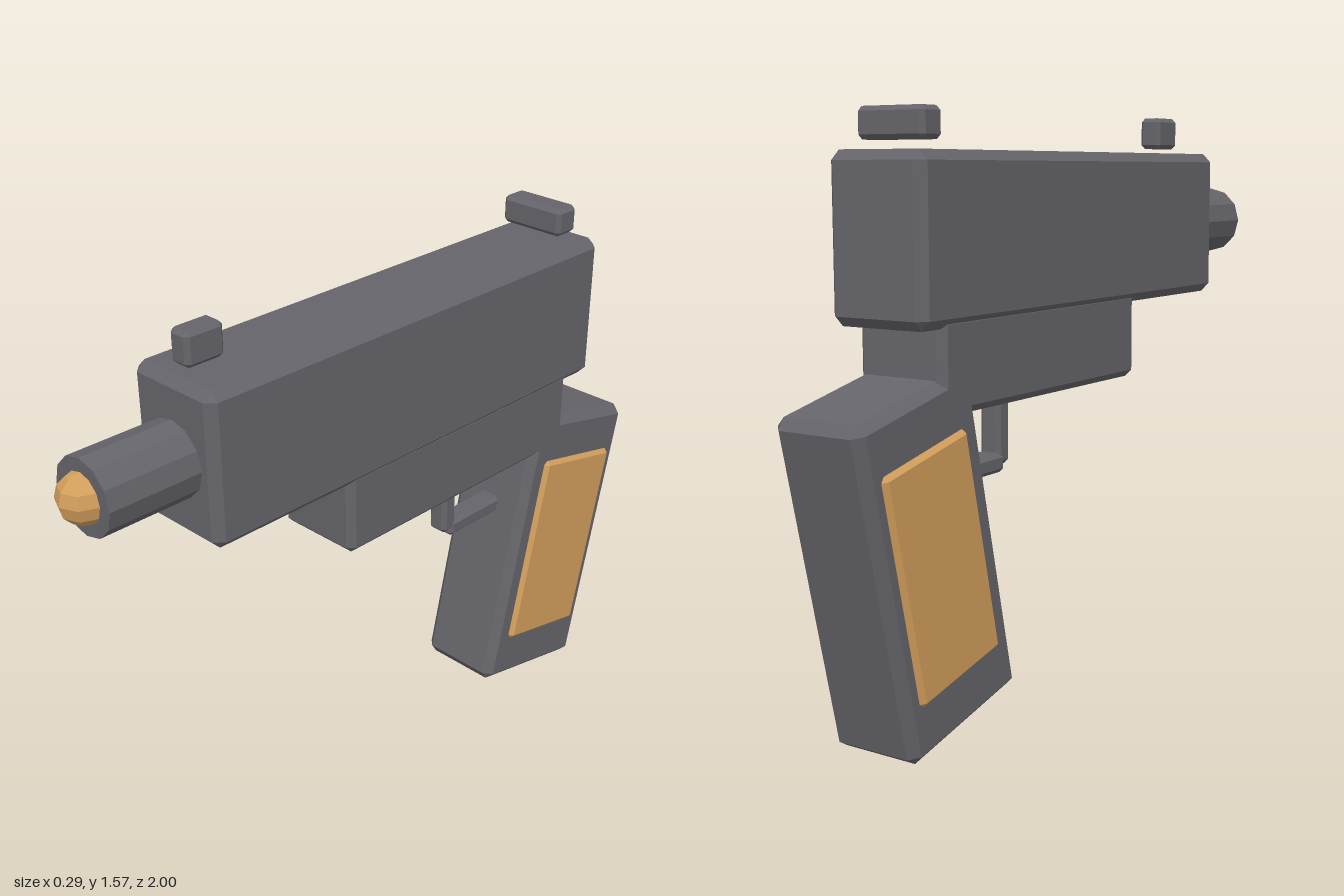
import * as THREE from 'three';
import { ConvexGeometry } from 'three/addons/geometries/ConvexGeometry.js';

// Box with every edge cut at 45 degrees by c
function chamferBox(w, h, d, c) {
  const half = [w / 2, h / 2, d / 2];
  const points = [];
  for (const sx of [-1, 1]) for (const sy of [-1, 1]) for (const sz of [-1, 1]) {
    for (let axis = 0; axis < 3; axis++) {
      const p = half.map((v, i) => (i === axis ? v : v - c));
      points.push(new THREE.Vector3(p[0] * sx, p[1] * sy, p[2] * sz));
    }
  }
  return new ConvexGeometry(points);
}

export function createModel() {
  const group = new THREE.Group();
  const metal = new THREE.MeshStandardMaterial({ color: 0x64646a, flatShading: true });
  metal.name = 'gunmetal grey';
  const brass = new THREE.MeshStandardMaterial({ color: 0xd29e5b, flatShading: true });
  brass.name = 'warm tan';

  function add(name, geometry, material, x, y, z, parent = group) {
    const mesh = new THREE.Mesh(geometry, material);
    mesh.name = name;
    mesh.position.set(x, y, z);
    parent.add(mesh);
    return mesh;
  }

  // Block given by its width and its y and z ranges
  function block(name, w, y0, y1, z0, z1, c) {
    return add(name, chamferBox(w, y1 - y0, z1 - z0, c), metal, 0, (y0 + y1) / 2, (z0 + z1) / 2);
  }

  // Upper body
  block('slide', 0.29, 1.05, 1.47, -0.78, 0.67, 0.025);
  block('frame', 0.264, 0.835, 1.08, -0.69, 0.215, 0.02);

  // Barrel and muzzle tip
  const barrelShape = new THREE.CylinderGeometry(0.102, 0.102, 0.335, 12).rotateX(Math.PI / 2);
  add('barrel', barrelShape, metal, 0, 1.26, 0.7675);
  add('muzzleTip', new THREE.SphereGeometry(0.066, 8, 6), brass, 0, 1.26, 0.934);

  // Sights floating just above the slide
  block('frontSight', 0.066, 1.485, 1.577, 0.52, 0.637, 0.012);
  block('rearSight', 0.204, 1.493, 1.572, -0.717, -0.637, 0.012);

  // Trigger and guard bar
  block('trigger', 0.064, 0.65, 0.86, -0.325, -0.27, 0.012);
  block('triggerGuard', 0.07, 0.63, 0.683, -0.56, -0.297, 0.012);

  // Raked grip with a panel on each side
  const grip = new THREE.Group();
  grip.name = 'grip';
  grip.position.set(0, 0.475, -0.693);
  grip.rotation.x = -0.22;
  group.add(grip);
  add('gripBody', chamferBox(0.264, 0.88, 0.44, 0.025), metal, 0, 0, 0, grip);
  for (const side of [1, -1]) {
    const name = side > 0 ? 'leftGripPanel' : 'rightGripPanel';
    add(name, chamferBox(0.045, 0.6, 0.325, 0.012), brass, side * 0.1225, 0.004, -0.008, grip);
  }

  return group;
}
